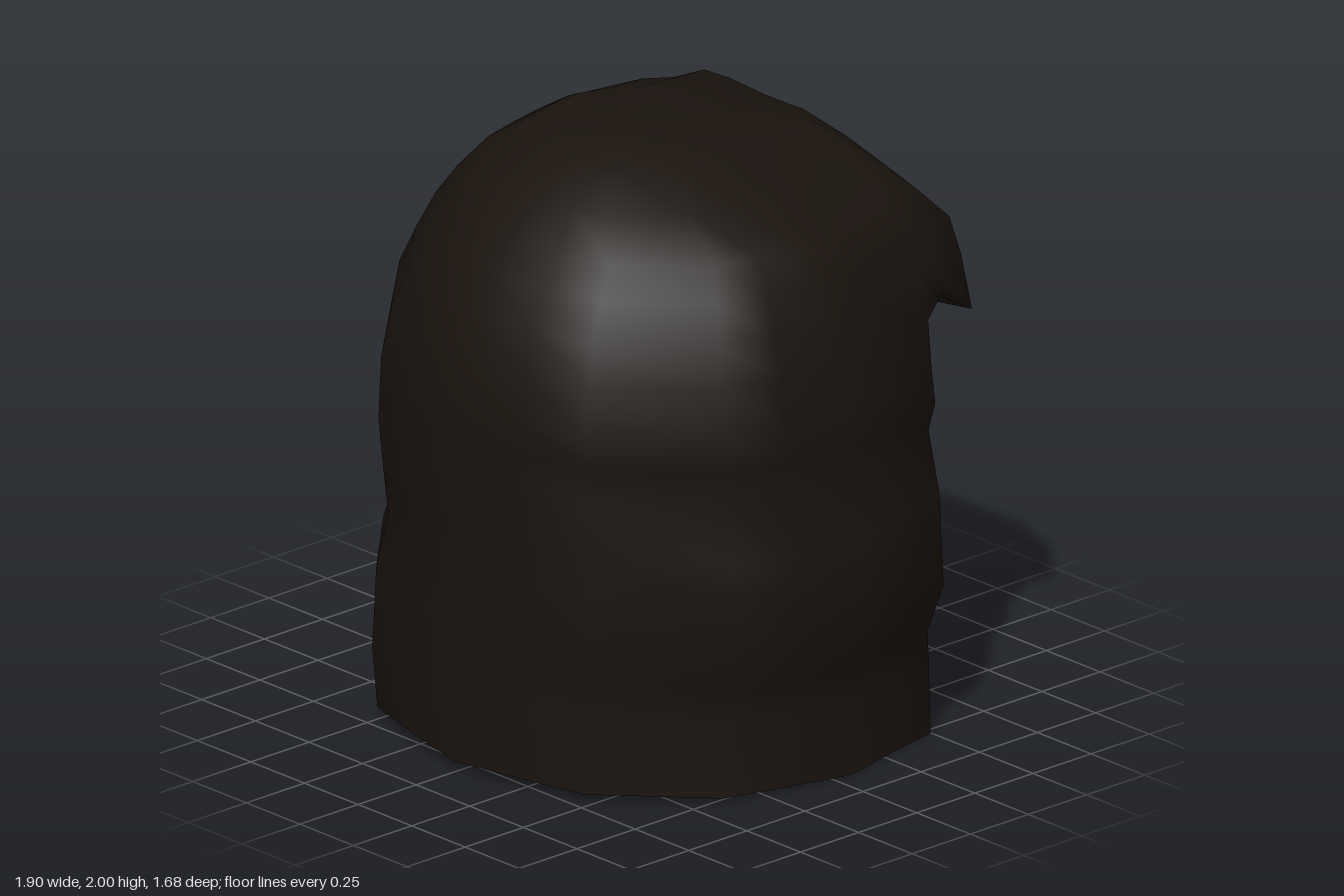
import * as THREE from 'three';

// Height rows: y, half width on +x, half width on -x, front depth, back depth
const ROWS = [
  [0.027, 0.88, 0.91, 0.84, -0.83], [0.25, 0.87, 0.955, 0.84, -0.83],
  [0.35, 0.865, 0.94, 0.84, -0.83], [0.52, 0.95, 0.92, 0.84, -0.83],
  [0.72, 0.935, 0.825, 0.835, -0.83], [0.82, 0.93, 0.845, 0.84, -0.83],
  [1.03, 0.87, 0.9, 0.84, -0.83], [1.13, 0.905, 0.89, 0.84, -0.83],
  [1.25, 0.885, 0.875, 0.84, -0.83], [1.4, 0.86, 0.855, 0.805, -0.84],
  [1.53, 0.815, 0.79, 0.76, -0.825], [1.65, 0.765, 0.73, 0.69, -0.81],
  [1.75, 0.7, 0.66, 0.61, -0.71], [1.86, 0.51, 0.56, 0.5, -0.61],
  [1.945, 0.31, 0.42, 0.32, -0.52], [1.98, 0.18, 0.35, 0.21, -0.24],
  [2.0, 0, 0, 0, 0],
];
// Plan outline as fractions of width and depth: rim, round the front, rim, then fringe
const PLAN = [
  [0.88, -0.6], [0.94, -0.32], [1, -0.07], [0.94, 0.22], [0.88, 0.47], [0.54, 0.85], [0.28, 0.93], [0, 1],
  [-0.28, 0.93], [-0.54, 0.85], [-0.88, 0.47], [-0.94, 0.22], [-1, -0.07], [-0.94, -0.32], [-0.88, -0.6],
  [-0.74, -0.76], [-0.7, -0.98], [-0.45, -1], [0, -0.97], [0.54, -0.98], [0.8, -0.9], [0.82, -0.73],
];
const FRINGE = [1.44, 1.385, 1.48, 1.465, 1.44, 1.35, 1.45]; // uneven lower edge of the fringe
const RIM = 14;      // last column of the wrapped wall
const LINTEL = 9;    // first row above the face opening
const N = PLAN.length, LAST = ROWS.length - 1;

function point(r, c, turned) {
  const [y, left, right, front, back] = ROWS[r];
  const [u, v] = PLAN[c];
  let x = u * (u > 0 ? left : right);
  let z = v > 0 ? v * front : -v * back;
  let h = y;
  if (r === 0) h += 0.015 * v - 0.018 * u;           // slightly sloping hem
  if (r === LINTEL && c > RIM) h = FRINGE[c - RIM - 1];
  if (turned) {                                      // edge folded in towards the opening
    x *= 0.87;
    if (c > RIM) {
      z *= 0.9;
      h += 0.02;
    }
  }
  return [x, h, z];
}

function toGeometry(positions, index) {
  const g = new THREE.BufferGeometry();
  g.setAttribute('position', new THREE.Float32BufferAttribute(positions, 3));
  g.setIndex(index);
  g.computeVertexNormals();
  return g;
}

// Outer sheet with a turned-in edge round the face opening
function shellGeometry() {
  const positions = [], index = [];
  for (const turned of [false, true])
    for (let r = 0; r <= LAST; r++)
      for (let c = 0; c < N; c++) positions.push(...point(r, c, turned));

  const id = (r, c) => r * N + (r === LAST ? 0 : c % N);
  const fold = (LAST + 1) * N;
  const solid = (r, c) => r >= LINTEL || (c + N) % N < RIM;
  const quad = (a, b, c, d) => index.push(a, b, c, a, c, d);
  const lip = (p, q) => quad(q, p, p + fold, q + fold);

  for (let r = 0; r < LAST; r++)
    for (let c = 0; c < N; c++) {
      if (!solid(r, c)) continue;
      const a = id(r, c), b = id(r, c + 1), d = id(r + 1, c), e = id(r + 1, c + 1);
      quad(a, d, e, b);
      if (r > 0 && !solid(r - 1, c)) lip(b, a);
      if (!solid(r, c - 1)) lip(a, d);
      if (!solid(r, c + 1)) lip(e, b);
    }
  return toGeometry(positions, index);
}

// Inner layer whose lower edge sags from the sides to the front
function liningGeometry() {
  const positions = [], index = [], first = 2, last = 12, steps = 4;
  const across = last - first + 1;
  for (let r = 0; r <= steps; r++)
    for (let c = first; c <= last; c++) {
      const t = r / steps, [u, v] = PLAN[c];
      const low = THREE.MathUtils.lerp(0.82, 0.38, Math.max(v, 0));
      const size = THREE.MathUtils.lerp(0.78, 0.83, t);
      positions.push(u * size, THREE.MathUtils.lerp(low, 1.25, t), v * size);
    }
  for (let r = 0; r < steps; r++)
    for (let c = 0; c < across - 1; c++) {
      const a = r * across + c, d = a + across;
      index.push(a, d, d + 1, a, d + 1, a + 1);
    }
  return toGeometry(positions, index);
}

export function createModel() {
  const group = new THREE.Group();
  group.name = 'hair';
  const material = new THREE.MeshStandardMaterial({ color: 0x1a130e, side: THREE.DoubleSide });
  const add = (name, geometry) => {
    const mesh = new THREE.Mesh(geometry, material);
    mesh.name = name;
    group.add(mesh);
  };
  add('hairShell', shellGeometry());
  add('innerLayer', liningGeometry());
  return group;
}
